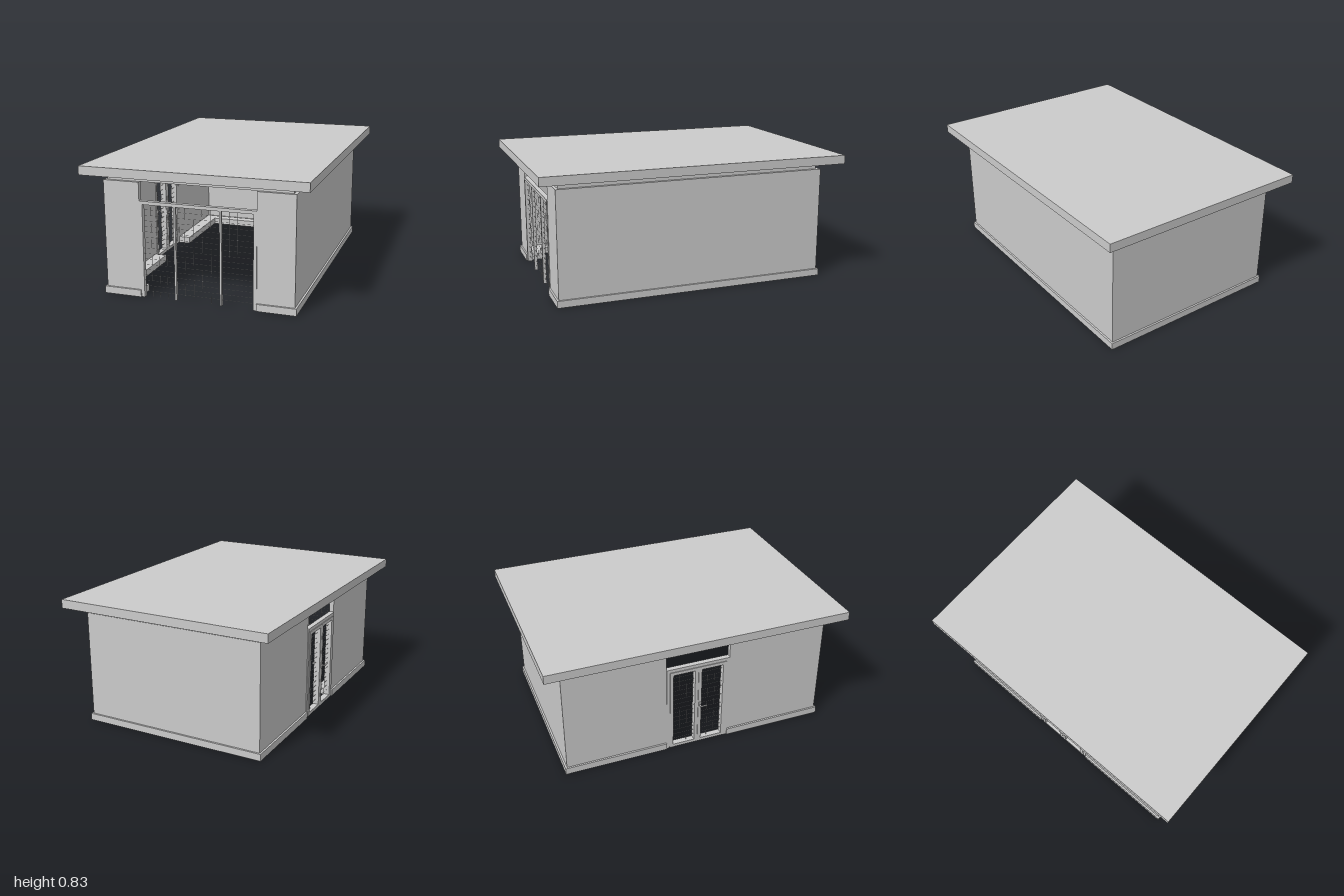
import * as THREE from 'three';

const grey = new THREE.MeshStandardMaterial({ color: 0xcccccc, flatShading: true });

// Box given by its minimum and maximum corners
function box(parent, name, [x0, y0, z0], [x1, y1, z1]) {
  const mesh = new THREE.Mesh(new THREE.BoxGeometry(x1 - x0, y1 - y0, z1 - z0), grey);
  mesh.position.set((x0 + x1) / 2, (y0 + y1) / 2, (z0 + z1) / 2);
  mesh.name = name;
  parent.add(mesh);
}

function rod(parent, name, radius, length) {
  const mesh = new THREE.Mesh(new THREE.CylinderGeometry(radius, radius, length, 12), grey);
  mesh.name = name;
  parent.add(mesh);
  return mesh;
}

function group(parent, name) {
  const g = new THREE.Group();
  g.name = name;
  parent.add(g);
  return g;
}

// Very thin lattice filling a rectangle, in the local XY plane
function lattice(parent, x0, x1, y0, y1) {
  const g = group(parent, 'lattice');
  const t = 0.0006;
  const nx = Math.round((x1 - x0) / 0.053), ny = Math.round((y1 - y0) / 0.0345);
  for (let i = 1; i < nx; i++) {
    const x = x0 + ((x1 - x0) * i) / nx;
    box(g, 'latticeUpright', [x - t, y0, -t], [x + t, y1, t]);
  }
  for (let j = 1; j < ny; j++) {
    const y = y0 + ((y1 - y0) * j) / ny;
    box(g, 'latticeRail', [x0, y - t, -t], [x1, y + t, t]);
  }
}

// Jambs and head around an opening
function frame(parent, half, top, w, depth) {
  for (const s of [-1, 1]) {
    const a = s * half, b = s * (half - w);
    box(parent, 'jamb', [Math.min(a, b), 0, -depth], [Math.max(a, b), top, depth]);
  }
  box(parent, 'frameHead', [-half + w, top - w, -depth], [half - w, top, depth]);
}

// Door leaf with stiles, rails and lattice
function leaf(parent, x0, x1, y0, y1, w, d) {
  const g = group(parent, 'doorLeaf');
  box(g, 'stile', [x0, y0, -d], [x0 + w, y1, d]);
  box(g, 'stile', [x1 - w, y0, -d], [x1, y1, d]);
  box(g, 'bottomRail', [x0 + w, y0, -d], [x1 - w, y0 + w, d]);
  box(g, 'topRail', [x0 + w, y1 - w, -d], [x1 - w, y1, d]);
  lattice(g, x0 + w, x1 - w, y0 + w, y1 - w);
}

// Lever handle on a backplate, standing off the leaf face
function handle(parent, x, y, z, side) {
  const g = group(parent, 'handle');
  box(g, 'backplate', [-0.008, -0.022, 0], [0.008, 0.022, 0.004]);
  const stem = rod(g, 'handleStem', 0.005, 0.024);
  stem.rotation.x = Math.PI / 2;
  stem.position.z = 0.014;
  const lever = rod(g, 'handleLever', 0.005, 0.045);
  lever.rotation.z = Math.PI / 2;
  lever.position.set(0.018, 0, 0.023);
  g.position.set(x, y, z * side);
  if (side < 0) g.rotation.x = Math.PI;
}

export function createModel() {
  const model = new THREE.Group();
  model.name = 'gardenPavilion';

  const X = 0.607, Z = 0.885, H = 0.73;
  const openFront = 0.373, openSide = 0.215;

  // Plan of the walls: t reaches inwards and o outwards from the wall face
  function wallRing(name, t, o, y0, y1) {
    const g = group(model, name);
    const plan = {
      right: [X - t, X + o, -Z - o, Z + o],
      back: [-X + t, X - t, -Z - o, -Z + t],
      leftRear: [-X - o, -X + t, -Z - o, -openSide],
      leftFront: [-X - o, -X + t, openSide, Z + o],
      frontLeft: [openFront, X - t, Z - t, Z + o],
      frontRight: [-X + t, -openFront, Z - t, Z + o],
    };
    for (const [side, [x0, x1, z0, z1]] of Object.entries(plan)) {
      box(g, side + name, [x0, y0, z0], [x1, y1, z1]);
    }
  }
  wallRing('Wall', 0.03, 0, 0.045, H);
  wallRing('Plinth', 0.11, 0.012, 0, 0.045);

  // Roof: ceiling block, slab and a rim round its edge
  const roof = group(model, 'roof');
  const RX = 0.709, RZ = 1, rim = 0.015;
  box(roof, 'ceilingBlock', [-0.587, H, -0.858], [0.587, 0.8, 0.866]);
  box(roof, 'roofSlab', [-RX, 0.8, -RZ], [RX, 0.832, RZ]);
  for (const s of [-1, 1]) {
    const x = s * (RX - rim / 2), z = s * (RZ - rim / 2);
    box(roof, 'sideRim', [x - rim / 2, 0.776, -RZ], [x + rim / 2, 0.8, RZ]);
    box(roof, 'endRim', [-RX + rim, 0.776, z - rim / 2], [RX - rim, 0.8, z + rim / 2]);
  }

  // Soffit panels along the eaves, parted by deep grooves
  const n = 7, px = (2 * RX) / n, pz = (2 * RZ) / n, gap = 0.025;
  for (let i = 0; i < n; i++) {
    for (let k = 0; k < n; k++) {
      if (i > 0 && i < n - 1 && k > 0 && k < n - 1) continue;
      const x = -RX + px * i, z = -RZ + pz * k;
      box(roof, 'soffitPanel', [x + gap, 0.771, z + gap], [x + px - gap, 0.8, z + pz - gap]);
    }
  }

  // Front screen: frame, two mullions and three lattice bays
  const screen = group(model, 'frontScreen');
  screen.position.z = Z - 0.012;
  frame(screen, openFront, 0.615, 0.021, 0.016);
  for (const s of [-1, 1]) {
    box(screen, 'mullion', [s * 0.146 - 0.006, 0, -0.01], [s * 0.146 + 0.006, 0.594, 0.01]);
  }
  for (const [x0, x1] of [[-0.352, -0.152], [-0.14, 0.14], [0.152, 0.352]]) {
    lattice(screen, x0, x1, 0.003, 0.594);
  }

  // Side entrance: frame with a pair of leaves and handles on both faces
  const door = group(model, 'sideDoor');
  door.position.x = -X + 0.012;
  door.rotation.y = -Math.PI / 2;
  frame(door, openSide, 0.615, 0.022, 0.017);
  leaf(door, -0.192, -0.001, 0.004, 0.592, 0.022, 0.02);
  leaf(door, 0.001, 0.192, 0.004, 0.592, 0.022, 0.02);
  for (const side of [-1, 1]) handle(door, 0.012, 0.3, 0.02, side);

  return model;
}
